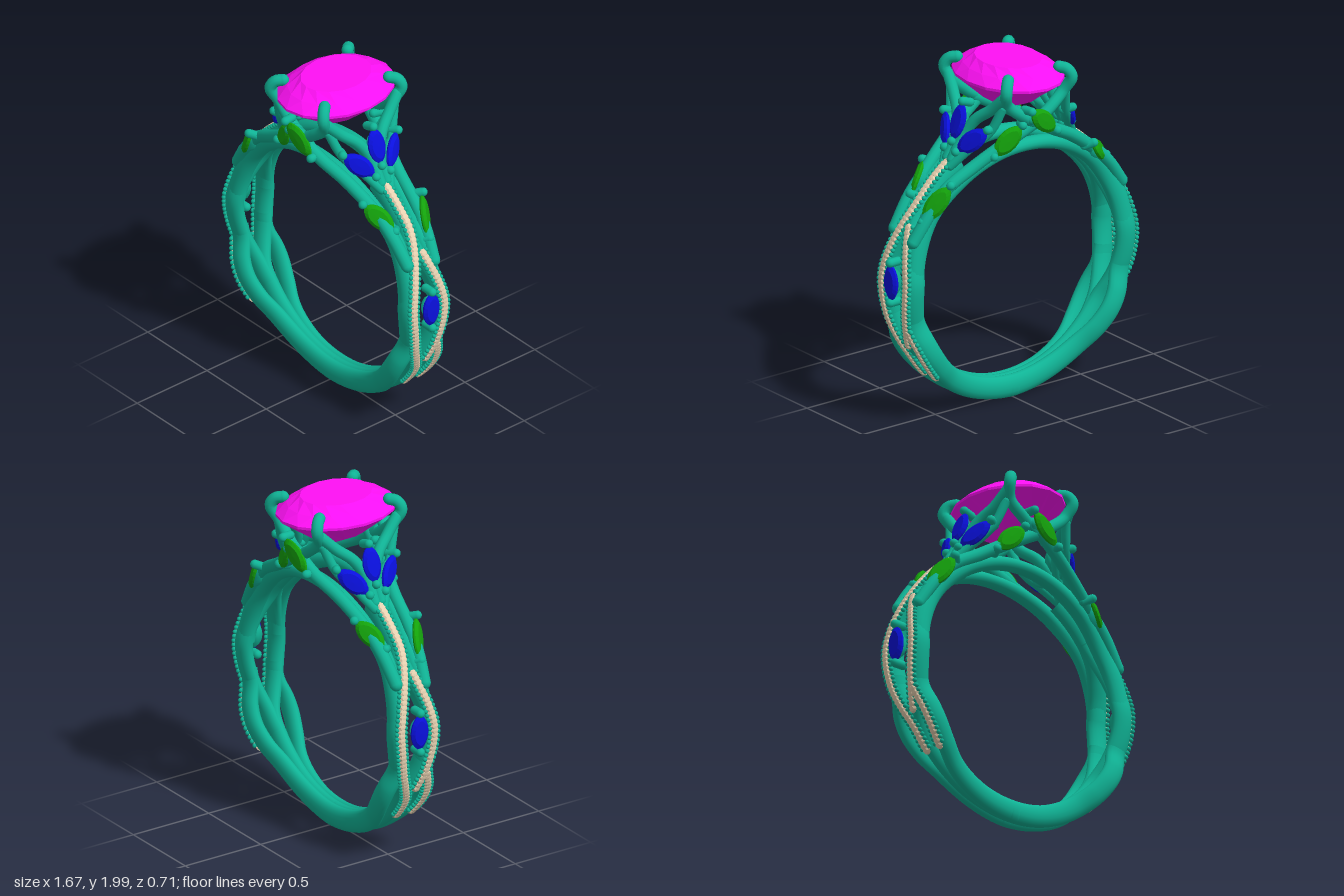
import * as THREE from 'three';

const mat = (color, flatShading = false) => new THREE.MeshStandardMaterial({ color, flatShading });
const METAL = mat(0x10b496), PINK = mat(0xff10f5, true), BLUE = mat(0x0a10dd, true);
const GREEN = mat(0x14a30c, true), CREAM = mat(0xe6d0b0, true);
const V = (a) => new THREE.Vector3(...a);
const CENTER = 0.81, INNER = 0.665; // finger hole

function add(parent, name, geo, material) {
  const m = new THREE.Mesh(geo, material);
  m.name = name;
  parent.add(m);
  return m;
}

// Round wire with domed ends
function wire(parent, name, pts, r) {
  const g = new THREE.Group();
  g.name = name;
  const curve = new THREE.CatmullRomCurve3(pts.map(V));
  add(g, name + 'Wire', new THREE.TubeGeometry(curve, pts.length * 6, r, 12), METAL);
  for (const p of [pts[0], pts[pts.length - 1]])
    add(g, name + 'End', new THREE.SphereGeometry(r, 12, 8), METAL).position.set(...p);
  parent.add(g);
}

// Faceted stone: rings of [scale, height] over an outline, table towards +z
function gem(w, l, rings, sides, point = 1, twist = 0) {
  const pos = [], idx = [];
  rings.forEach(([s, h, k = 0], r) => {
    for (let j = 0; j < sides; j++) {
      const a = ((j + k * twist) / sides) * Math.PI * 2, c = Math.cos(a);
      pos.push(s * w * Math.sign(c) * Math.abs(c) ** point, s * l * Math.sin(a), h);
      if (r === 0) continue;
      const n = (j + 1) % sides, A = (r - 1) * sides, B = r * sides;
      idx.push(A + j, A + n, B + j, A + n, B + n, B + j);
    }
  });
  const g = new THREE.BufferGeometry();
  g.setAttribute('position', new THREE.Float32BufferAttribute(pos, 3));
  g.setIndex(idx);
  g.computeVertexNormals();
  return g;
}

// Turn an object so its y follows dir and its z faces the normal
function orient(o, at, dir, normal) {
  const y = dir.clone().normalize();
  const x = y.clone().cross(normal).normalize();
  o.quaternion.setFromRotationMatrix(new THREE.Matrix4().makeBasis(x, y, x.clone().cross(y)));
  o.position.copy(at);
}

// Oval-section band strand; keys are [degrees, z, half thickness], degrees rising
const strandCurve = (keys) =>
  new THREE.CatmullRomCurve3(keys.map(([d, z, h = 0.062]) => new THREE.Vector3(d / 60, z, h)));
function strand(parent, name, keys, hz) {
  const curve = strandCurve(keys), N = 72, M = 16, pos = [], idx = [];
  for (let i = 0; i <= N; i++) {
    const p = curve.getPointAt(i / N), a = (p.x * Math.PI) / 3;
    for (let j = 0; j < M; j++) {
      const t = (j / M) * Math.PI * 2, R = INNER + p.z + p.z * Math.cos(t);
      pos.push(R * Math.cos(a), CENTER + R * Math.sin(a), p.y + hz * Math.sin(t));
      if (i === N) continue;
      const n = (j + 1) % M, A = i * M, B = A + M;
      idx.push(A + j, B + j, A + n, B + j, B + n, A + n);
    }
  }
  const g = new THREE.BufferGeometry();
  g.setAttribute('position', new THREE.Float32BufferAttribute(pos, 3));
  g.setIndex(idx);
  g.computeVertexNormals();
  add(parent, name, g, METAL);
}

// Row of small stones with bead pairs between them
const paveGeo = gem(0.027, 0.027, [[0.6, -0.015], [1, 0], [0.6, 0.012], [0, 0.014]], 8);
const beadGeo = new THREE.SphereGeometry(0.013, 8, 6);
function pave(parent, keys, from, to) {
  const g = new THREE.Group();
  g.name = 'paveRow';
  const curve = strandCurve(keys), n = Math.round(curve.getLength() / 0.032);
  const at = (u) => {
    const p = curve.getPointAt(u), a = (p.x * Math.PI) / 3, R = INNER + 2 * p.z;
    return { deg: p.x * 60, a, pos: new THREE.Vector3(R * Math.cos(a), CENTER + R * Math.sin(a), p.y) };
  };
  for (let i = 0; i < n; i++) {
    const s = at(i / n), e = at((i + 0.5) / n);
    if (s.deg < from || s.deg > to) continue;
    const normal = new THREE.Vector3(Math.cos(s.a), Math.sin(s.a), 0);
    orient(add(g, 'paveStone', paveGeo, CREAM), s.pos, e.pos.clone().sub(s.pos), normal);
    for (const k of [-1, 1]) {
      const b = add(g, 'paveBead', beadGeo, METAL);
      b.position.copy(e.pos).addScaledVector(normal, -0.004);
      b.position.z += k * 0.029;
    }
  }
  parent.add(g);
}

// Leaf-shaped stone between two points, with a seat and a claw at each tip
const claw = new THREE.CapsuleGeometry(0.025, 0.055, 4, 12).rotateX(Math.PI / 2);
function leaf(parent, name, a, b, normal, material) {
  const g = new THREE.Group();
  g.name = name;
  const A = V(a), B = V(b), L = A.distanceTo(B) / 2;
  const rings = [[0.6, -0.03], [1, -0.004], [1, 0.006], [0.72, 0.02], [0, 0.022]];
  add(g, name + 'Stone', gem(0.056, L, rings, 20, 1.25), material);
  const seat = [[0, -0.05], [0.55, -0.05], [0.88, -0.012], [0, -0.01]];
  add(g, name + 'Seat', gem(0.056, L, seat, 20, 1.25), METAL);
  for (const k of [-1, 1]) add(g, name + 'Claw', claw, METAL).position.set(0, k * (L + 0.014), -0.018);
  orient(g, A.clone().add(B).multiplyScalar(0.5), B.clone().sub(A), V(normal));
  parent.add(g);
}

// One half of the ring; the other is the same half turned around y
function createHalf() {
  const h = new THREE.Group();
  h.name = 'ringHalf';

  // Braided band
  const left = [[-90, 0, 0.058], [-60, 0, 0.06], [-43, 0], [-31, 0.005], [-23, 0.04], [-14, 0.078],
    [3, 0.107], [12, 0.088], [21, 0.055], [30, 0.02], [38, 0], [48, 0], [62, 0, 0.065]];
  const right = [[-40, 0], [-30, -0.02], [-23, -0.045], [-14, -0.078], [3, -0.11], [12, -0.087],
    [21, -0.05], [30, -0.015], [40, 0]];
  const outer = (s) => [[-92, s * 0.034, 0.066], [-70, s * 0.036, 0.064], [-54, s * 0.058], [-43, s * 0.1],
    [-33, s * 0.122], [-25, s * 0.115], [-16, s * 0.082], [-8, s * 0.085]];
  strand(h, 'leftStrand', left, 0.042);
  strand(h, 'rightStrand', right, 0.042);
  for (const s of [-1, 1]) strand(h, 'lowerStrand', outer(s), 0.04);
  pave(h, left, -43, 59);
  pave(h, right, -25, 27);
  pave(h, outer(-1), -44, -16);

  // Arch under the setting
  strand(h, 'arch', [[5, 0.1, 0.058], [20, 0.085, 0.058], [35, 0.075, 0.055], [55, 0.1, 0.046], [90, 0.12, 0.038],
    [125, 0.1, 0.046], [145, 0.075, 0.055], [160, 0.085, 0.058], [175, 0.1, 0.058]], 0.044);

  // Vines climbing from the shoulders to the front of the setting
  wire(h, 'rightVine', [[0.71, 1.13, 0.09], [0.6, 1.28, 0.11], [0.48, 1.39, 0.13], [0.3, 1.52, 0.18],
    [0.12, 1.62, 0.235], [-0.04, 1.72, 0.255]], 0.036);
  wire(h, 'leftVine', [[-0.72, 1.1, 0.09], [-0.63, 1.24, 0.11], [-0.52, 1.37, 0.12], [-0.34, 1.48, 0.15],
    [-0.16, 1.59, 0.2], [0.04, 1.7, 0.245]], 0.036);

  // Prongs, each fed by a front arm and a side arm
  for (const s of [-1, 1]) {
    wire(h, 'prong', [[0, 1.68, s * 0.245], [0.11, 1.755, s * 0.245], [0.195, 1.83, s * 0.245],
      [0.225, 1.91, s * 0.28], [0.205, 1.955, s * 0.262], [0.175, 1.965, s * 0.23]], 0.033);
    wire(h, 'prongSideArm', [[0.4, 1.49, s * 0.02], [0.33, 1.62, s * 0.03], [0.285, 1.72, s * 0.085],
      [0.245, 1.79, s * 0.17], [0.22, 1.87, s * 0.25]], 0.032);
    wire(h, 'leafStem', [[0.42, 1.46, s * 0.03], [0.35, 1.55, s * 0.09], [0.26, 1.67, s * 0.18],
      [0.215, 1.81, s * 0.235]], 0.026);
    leaf(h, 'blueSideLeaf', [0.385, 1.55, s * 0.055], [0.29, 1.68, s * 0.185], [0.8, 0.3, s * 0.55], BLUE);
  }

  // Leaves
  leaf(h, 'blueCrestLeaf', [0.375, 1.6, 0], [0.31, 1.79, 0], [1, 0.3, 0], BLUE);
  leaf(h, 'blueBandLeaf', [0.803, 0.755, 0], [0.803, 0.96, 0], [1, 0, 0], BLUE);
  leaf(h, 'greenShoulderLeaf', [0.45, 1.43, 0.175], [0.59, 1.31, 0.09], [0.45, 0.5, 0.7], GREEN);
  leaf(h, 'greenShoulderLeaf', [0.53, 1.4, -0.165], [0.655, 1.22, -0.1], [0.6, 0.4, -0.7], GREEN);
  leaf(h, 'greenFrontLeaf', [-0.06, 1.77, 0.295], [0.11, 1.63, 0.275], [0, 0.15, 1], GREEN);
  leaf(h, 'greenFrontLeaf', [-0.24, 1.535, 0.2], [-0.1, 1.68, 0.245], [-0.35, 0.2, 1], GREEN);
  return h;
}

export function createModel() {
  const ring = new THREE.Group();
  ring.name = 'ring';
  const half = createHalf(), other = half.clone();
  other.rotation.y = Math.PI;
  ring.add(half, other);

  // Oval centre stone
  const rings = [[0, 1.7], [0.5, 1.775, 1], [1, 1.9], [1, 1.915], [0.82, 1.96, 1], [0.6, 2], [0, 2]];
  add(ring, 'centreStone', gem(0.28, 0.355, rings, 16, 1, 0.5).rotateX(-Math.PI / 2), PINK);
  return ring;
}
